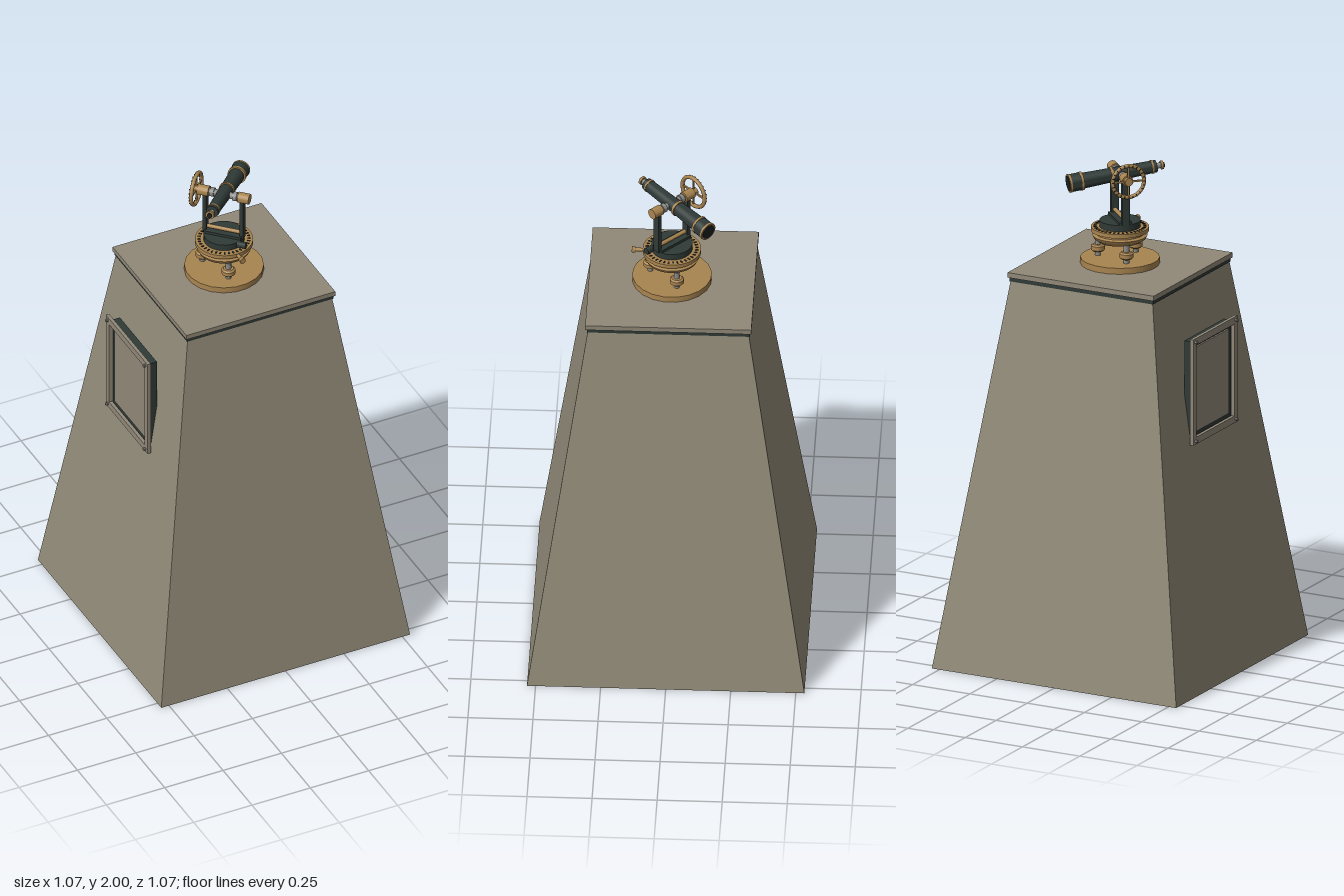
import * as THREE from 'three';
import { toCreasedNormals } from 'three/addons/utils/BufferGeometryUtils.js';

const mat = (name, color, flatShading = false) => {
  const m = new THREE.MeshStandardMaterial({ color, flatShading });
  m.name = name;
  return m;
};

export function createModel() {
  const stone = mat('stone', 0x928b79, true);
  const capStone = mat('cap stone', 0x918979, true);
  const dark = mat('dark green metal', 0x2f3a37);
  const brass = mat('brass', 0xa98550);
  const steel = mat('steel', 0x8b8b88);
  const black = mat('black', 0x1d2120);

  const model = new THREE.Group();
  model.name = 'surveyingInstrumentOnPillar';

  const add = (parent, name, geo, material, x = 0, y = 0, z = 0) => {
    const mesh = new THREE.Mesh(geo, material);
    mesh.name = name;
    mesh.position.set(x, y, z);
    parent.add(mesh);
    return mesh;
  };
  const box = (w, h, d) => new THREE.BoxGeometry(w, h, d);
  const cyl = (r, h, n = 20, r2 = r) => toCreasedNormals(new THREE.CylinderGeometry(r, r2, h, n), 0.6);
  const cylX = (r, h, n, r2) => cyl(r, h, n, r2).rotateZ(-Math.PI / 2); // r faces +x
  const cylZ = (r, h, n) => cyl(r, h, n).rotateX(Math.PI / 2);
  const lathe = (pts, n = 32) =>
    toCreasedNormals(new THREE.LatheGeometry(pts.map(p => new THREE.Vector2(...p)), n), 0.6);

  // Stone pillar and cap
  const frustum = new THREE.CylinderGeometry(0.31 * Math.SQRT2, 0.533 * Math.SQRT2, 1.53, 4).rotateY(Math.PI / 4);
  add(model, 'pillar', frustum, stone, 0, 0.765);
  add(model, 'capJoint', box(0.626, 0.016, 0.626), dark, 0, 1.538);
  add(model, 'cap', box(0.638, 0.02, 0.638), capStone, 0, 1.556);

  // Framed plaque on the -x side
  const plaque = new THREE.Group();
  plaque.name = 'plaque';
  plaque.position.set(0, 1.153, 0);
  model.add(plaque);
  add(plaque, 'plaqueBacking', box(0.03, 0.395, 0.32), dark, -0.382);
  add(plaque, 'plaquePanel', box(0.008, 0.34, 0.265), capStone, -0.4);
  for (const s of [-1, 1]) {
    add(plaque, 'frameRail', box(0.014, 0.028, 0.36), capStone, -0.41, s * 0.199);
    add(plaque, 'frameStile', box(0.014, 0.37, 0.028), capStone, -0.41, 0, s * 0.166);
    for (const t of [-1, 1]) {
      add(plaque, 'frameBolt', cylX(0.006, 0.012, 8), steel, -0.421, s * 0.199, t * 0.163);
    }
  }

  // Instrument, sighting along its own x axis
  const inst = new THREE.Group();
  inst.name = 'instrument';
  inst.rotation.y = Math.PI / 4;
  model.add(inst);

  add(inst, 'basePlate', cyl(0.153, 0.024, 20), brass, 0, 1.578);

  // Levelling feet
  for (const deg of [30, 150, 270]) {
    const a = THREE.MathUtils.degToRad(deg);
    const foot = new THREE.Group();
    foot.name = 'levellingFoot';
    foot.position.set(0.087 * Math.cos(a), 0, 0.087 * Math.sin(a));
    inst.add(foot);
    add(foot, 'footStem', cyl(0.011, 0.075, 12), steel, 0, 1.625);
    add(foot, 'footKnob', lathe([[0, 1.607], [0.02, 1.607], [0.027, 1.613], [0.027, 1.629], [0.02, 1.635], [0, 1.635]], 16), brass);
  }

  // Horizontal circle
  add(inst, 'circleBody', lathe([
    [0, 1.655], [0.082, 1.655], [0.1, 1.667], [0.106, 1.68], [0.093, 1.685],
    [0.093, 1.692], [0.112, 1.697], [0.112, 1.713], [0, 1.713],
  ]), brass);
  for (let i = 0; i < 36; i++) {
    const a = (i / 36) * Math.PI * 2;
    const tick = add(inst, 'circleTick', box(0.012, 0.003, 0.006), black,
      0.096 * Math.cos(a), 1.7135, 0.096 * Math.sin(a));
    tick.rotation.y = -a;
  }
  add(inst, 'turntable', cyl(0.079, 0.026, 32), dark, 0, 1.726);
  add(inst, 'standardFoot', box(0.05, 0.012, 0.15), dark, 0, 1.744);

  // Tangent screw and clamp
  const screw = new THREE.Group();
  screw.name = 'tangentScrew';
  screw.position.set(-0.075, 1.705, 0.082);
  screw.rotation.y = Math.PI / 4;
  inst.add(screw);
  add(screw, 'screwRod', cylX(0.007, 0.07, 12), brass);
  add(screw, 'screwHead', cylX(0.012, 0.014, 12), brass, -0.036);
  add(inst, 'clampKnob', cylZ(0.013, 0.035, 14), dark, -0.036, 1.728, 0.084);

  // Spirit level between the standards
  add(inst, 'levelTube', cylZ(0.008, 0.14, 14), brass, 0, 1.76);

  // Standards with bearings and axle
  for (const s of [-1, 1]) {
    add(inst, 'standard', box(0.03, 0.18, 0.016), dark, 0, 1.828, s * 0.075);
    add(inst, 'bearing', cylZ(0.021, 0.045, 20), brass, 0, 1.925, s * 0.082);
    add(inst, 'axleCollar', cylZ(0.018, 0.016, 20), steel, 0, 1.925, s * 0.046);
  }
  add(inst, 'axle', cylZ(0.013, 0.2, 16), steel, 0, 1.925);

  // Vertical circle
  const wheel = new THREE.Group();
  wheel.name = 'verticalCircle';
  wheel.position.set(0, 1.925, -0.112);
  inst.add(wheel);
  add(wheel, 'wheelRim', new THREE.TorusGeometry(0.063, 0.008, 8, 36), brass);
  add(wheel, 'wheelHub', cylZ(0.016, 0.022, 16), brass);
  for (let i = 0; i < 2; i++) {
    add(wheel, 'wheelSpoke', box(0.124, 0.007, 0.006), brass).rotation.z = i * Math.PI / 2;
  }
  for (let i = 0; i < 24; i++) {
    const a = (i / 24) * Math.PI * 2;
    add(wheel, 'wheelTick', box(0.009, 0.003, 0.003), black,
      0.063 * Math.cos(a), 0.063 * Math.sin(a), -0.008).rotation.z = a;
  }

  // Telescope, dipping towards its objective
  const scope = new THREE.Group();
  scope.name = 'telescope';
  scope.position.set(0, 1.925, 0);
  scope.rotation.z = -0.11;
  inst.add(scope);
  add(scope, 'tube', cylX(0.031, 0.31, 24, 0.024), dark, 0.01);
  add(scope, 'objectiveHood', cylX(0.035, 0.05, 24), dark, 0.182);
  add(scope, 'objectiveRing', cylX(0.0365, 0.01, 24), brass, 0.157);
  add(scope, 'objectiveRim', cylX(0.0365, 0.008, 24), brass, 0.204);
  add(scope, 'objectiveLens', cylX(0.03, 0.003, 24), black, 0.2085);
  add(scope, 'middleRing', cylX(0.032, 0.01, 24), brass, 0.035);
  add(scope, 'rearRing', cylX(0.0265, 0.007, 24), brass, -0.128);
  add(scope, 'eyepieceTube', cylX(0.011, 0.03, 16), steel, -0.156);
  add(scope, 'eyepiece', cylX(0.017, 0.01, 16), brass, -0.168);
  add(scope, 'eyeCup', cylX(0.01, 0.006, 16), black, -0.175);

  return model;
}
